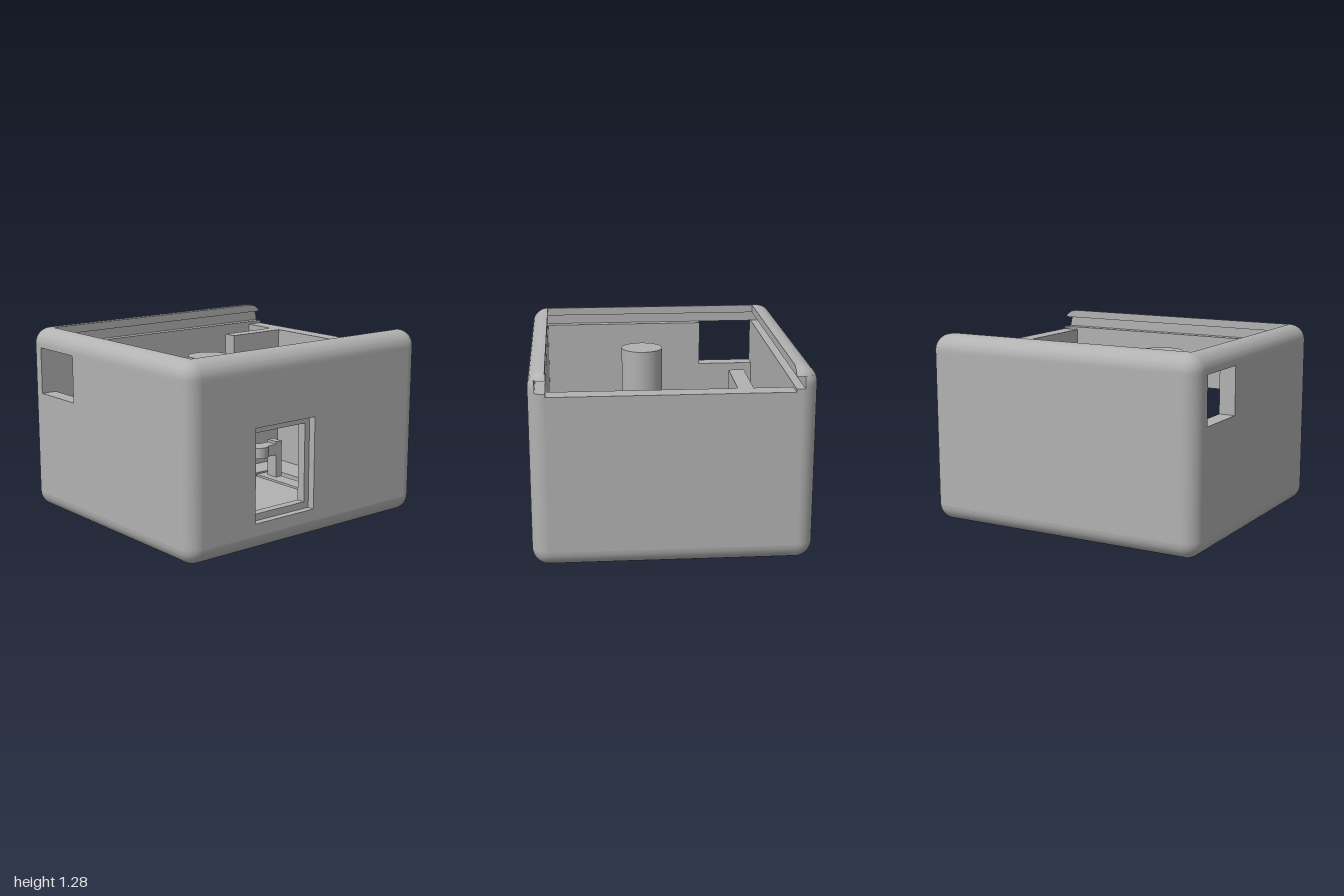
import * as THREE from 'three';
import { toCreasedNormals } from 'three/addons/utils/BufferGeometryUtils.js';

const R = 0.11;            // edge radius and wall thickness
const CX = 0.89, CZ = 0.79; // corner arc centres
const H = 1.28;
const FLOOR = 0.11, LEDGE = 1.15, ENTRY = 1.13;
const BACK = -0.755;       // inner face of the thicker back wall
const RIGHT = 0.88;        // inner face of the entry wall

const polygon = (pts) => new THREE.Shape(pts.map(([x, y]) => new THREE.Vector2(x, y)));
const rect = (x0, x1, y0, y1) => [[x0, y0], [x1, y0], [x1, y1], [x0, y1]];

function plate(outline, hole, depth) {
  const shape = polygon(outline);
  if (hole) shape.holes.push(polygon(hole));
  return new THREE.ExtrudeGeometry(shape, { depth, bevelEnabled: false });
}

function arc(cx, cz, r, a0, a1, n = 8) {
  return Array.from({ length: n + 1 }, (_, i) => {
    const a = a0 + (a1 - a0) * i / n;
    return [cx + r * Math.cos(a), cz + r * Math.sin(a)];
  });
}

// Skins a stack of closed x/z outlines, with optional end caps
function loft(rows, capped) {
  const pos = [], index = [], n = rows[0].pts.length;
  rows.forEach(({ y, pts }) => pts.forEach(([x, z]) => pos.push(x, y, z)));
  for (let i = 0; i < rows.length - 1; i++) {
    for (let j = 0; j < n; j++) {
      const k = (j + 1) % n;
      const a = i * n + j, b = i * n + k, c = b + n, d = a + n;
      index.push(a, d, b, b, d, c);
    }
  }
  if (capped) {
    [0, rows.length - 1].forEach((i) => {
      const flat = rows[i].pts.map(([x, z]) => new THREE.Vector2(x, z));
      THREE.ShapeUtils.triangulateShape(flat, []).forEach(([a, b, c]) => {
        const o = i * n;
        if (i) index.push(o + a, o + c, o + b);
        else index.push(o + a, o + b, o + c);
      });
    });
  }
  const geo = new THREE.BufferGeometry();
  geo.setAttribute('position', new THREE.Float32BufferAttribute(pos, 3));
  geo.setIndex(index);
  return toCreasedNormals(geo.toNonIndexed(), 0.6);
}

// U-shaped rim outline, open towards +x
function rimOutline(r, zFront, zBack, xLeft) {
  const P = Math.PI;
  const a0 = Math.asin((zFront - CZ) / r);
  const a1 = Math.asin(Math.max(0, -CZ - zBack) / r);
  const outer = [
    ...arc(CX, CZ, r, a0, P / 2),
    ...arc(-CX, CZ, r, P / 2, P),
    ...arc(-CX, -CZ, r, P, 1.5 * P),
    ...arc(CX, -CZ, r, 1.5 * P, 2 * P - a1),
  ];
  return [...outer, [outer[outer.length - 1][0], zBack], [xLeft, zBack], [xLeft, zFront]];
}

function rimRows(a0, a1, n, ...inner) {
  return Array.from({ length: n + 1 }, (_, i) => {
    const a = THREE.MathUtils.degToRad(a0 + (a1 - a0) * i / n);
    return { y: H - R + R * Math.sin(a), pts: rimOutline(R * Math.cos(a), ...inner) };
  });
}

export function createModel() {
  const model = new THREE.Group();
  const grey = new THREE.MeshStandardMaterial({ color: 0xb2b2b2, side: THREE.DoubleSide });

  const add = (name, geo, x = 0, y = 0, z = 0) => {
    const mesh = new THREE.Mesh(geo, grey);
    mesh.name = name;
    mesh.position.set(x, y, z);
    model.add(mesh);
  };
  const box = (name, x0, x1, y0, y1, z0, z1) =>
    add(name, new THREE.BoxGeometry(x1 - x0, y1 - y0, z1 - z0), (x0 + x1) / 2, (y0 + y1) / 2, (z0 + z1) / 2);
  const post = (name, x, z, r, y0, y1) =>
    add(name, new THREE.CylinderGeometry(r, r, y1 - y0, 48), x, (y0 + y1) / 2, z);

  // Floor, with a slot cut around a springy tongue
  const slot = [[0.44, 0.72], [0.44, -0.21], [0.65, -0.21], [0.65, 0.72],
    [0.585, 0.72], [0.585, -0.18], [0.47, -0.18], [0.47, 0.72]];
  add('floor', plate(rect(-CX, CX, -CZ, CZ), slot, FLOOR).rotateX(Math.PI / 2), 0, FLOOR, 0);

  // Rounded lower edge
  const lower = Array.from({ length: 9 }, (_, i) => {
    const a = (i / 8) * Math.PI / 2, r = R * Math.sin(a);
    const corners = [[CX, CZ], [-CX, CZ], [-CX, -CZ], [CX, -CZ]];
    return {
      y: R - R * Math.cos(a),
      pts: corners.flatMap(([x, z], k) => arc(x, z, r, k * Math.PI / 2, (k + 1) * Math.PI / 2)),
    };
  });
  add('lowerEdge', loft(lower, false));

  // Rounded upright corners
  [[1, 1], [1, -1], [-1, -1], [-1, 1]].forEach(([sx, sz], k) => {
    const geo = new THREE.CylinderGeometry(R, R, LEDGE - FLOOR, 8, 1, false, k * Math.PI / 2, Math.PI / 2);
    add('uprightCorner', geo, sx * CX, (LEDGE + FLOOR) / 2, sz * CZ);
  });

  // Front wall: two layers form a stepped window
  const face = rect(-CX, CX, FLOOR, LEDGE);
  add('frontWallInner', plate(face, rect(-0.43, -0.01, 0.235, 0.765), 0.06), 0, 0, 0.79);
  add('frontWallOuter', plate(face, rect(-0.47, 0.03, 0.19, 0.81), 0.05), 0, 0, 0.85);

  // Back wall and its thickening
  box('backWall', -CX, CX, FLOOR, LEDGE, -0.9, -CZ);
  box('backWallLining', -CX, 1, FLOOR, LEDGE, -CZ, BACK);

  // Side wall with a cable notch at its back end
  const notched = [[-CZ, FLOOR], [CZ, FLOOR], [CZ, LEDGE], [-0.355, LEDGE],
    [-0.355, 0.83], [BACK, 0.83], [BACK, LEDGE], [-CZ, LEDGE]];
  add('notchedWall', plate(notched, null, R).rotateY(-Math.PI / 2), -CX, 0, 0);

  // Low wall where the lid slides in, with its inner rib
  box('entryWall', RIGHT, 1, FLOOR, ENTRY, -CZ, CZ);
  box('rib', 0.435, RIGHT, FLOOR, ENTRY, -0.505, -0.405);

  // Lid groove and the rounded lip over it
  add('lidGroove', loft([
    { y: LEDGE, pts: rimOutline(R, 0.855, -0.81, -0.945) },
    ...rimRows(0, 30, 4, 0.855, -0.81, -0.945),
  ], true));
  add('rimLip', loft(rimRows(30, 88.5, 8, CZ, BACK, -CX), true));

  // Inner posts
  post('tallPost', -0.22, 0.125, 0.143, FLOOR, ENTRY);
  post('shortPostStem', -0.55, -0.61, 0.095, FLOOR, 0.59);
  post('shortPostCap', -0.55, -0.61, 0.125, 0.59, 0.65);

  // Push lever standing on the tongue
  box('leverPost', 0.53, 0.585, FLOOR, 0.38, -0.125, -0.03);
  box('leverArm', 0.4, 0.53, 0.28, 0.36, -0.125, -0.03);
  post('leverTip', 0.4, -0.075, 0.07, 0.28, 0.36);

  return model;
}
